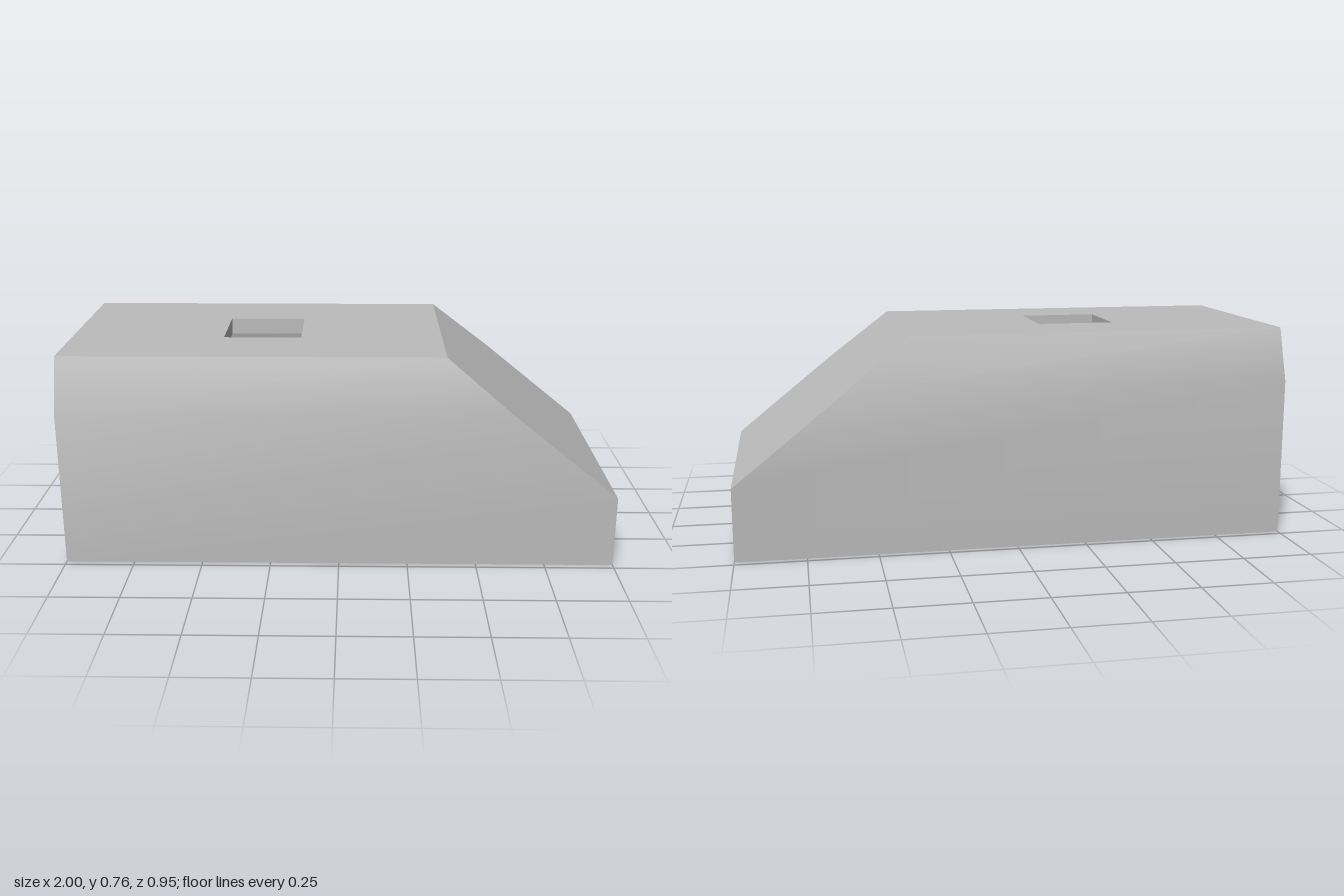
import * as THREE from 'three';
import { mergeGeometries, toCreasedNormals } from 'three/addons/utils/BufferGeometryUtils.js';

const WALL = 0.06;
const V = (x, y, z) => new THREE.Vector3(x, y, z);

// Flat polygon with optional holes, facing along the given normal
function face(points, normal, holes = []) {
  const n = V(...normal).normalize();
  const u = (Math.abs(n.y) > 0.9 ? V(1, 0, 0) : V(0, 1, 0)).cross(n).normalize();
  const v = n.clone().cross(u);
  const flat = (list) => list.map((p) => new THREE.Vector2(p.dot(u), p.dot(v)));
  const all = [points, ...holes].flat();
  const out = [];
  for (const [a, b, c] of THREE.ShapeUtils.triangulateShape(flat(points), holes.map(flat))) {
    const turn = all[b].clone().sub(all[a]).cross(all[c].clone().sub(all[a])).dot(n);
    for (const i of turn > 0 ? [a, b, c] : [a, c, b]) out.push(...all[i].toArray());
  }
  const g = new THREE.BufferGeometry();
  g.setAttribute('position', new THREE.Float32BufferAttribute(out, 3));
  return g;
}

// Key sizes of the hull, moved inwards by t perpendicular to every face
function hull(t) {
  const roof = 0.765 - t, side = 0.475 - t, end = 1 - t;
  const sl = Math.hypot(0.19, 0.065), nz = 0.19 / sl, ny = 0.065 / sl;
  const c = nz * 0.475 + ny * 0.575 - t;
  const shoulder = (c - nz * side) / ny, roofZ = (c - ny * roof) / nz;
  const k = (0.765 - 0.263) / 0.62;
  const drop = t * Math.hypot(1, k);
  const slopeX = (y) => 1 - (y + drop - 0.263) / k;
  const nose = 0.263 + k * t - drop;
  return { roof, side, end, shoulder, roofZ, slopeX, nose };
}

// Rectangular openings: roof hatch and three nose windows
const rectXZ = (x0, x1, z0, z1) => (y) => [V(x0, y, z0), V(x1, y, z0), V(x1, y, z1), V(x0, y, z1)];
const rectYZ = (z0, z1) => (x) => [V(x, 0.073, z0), V(x, 0.23, z0), V(x, 0.23, z1), V(x, 0.073, z1)];
const hatch = rectXZ(-0.433, -0.145, -0.143, 0.143);
const windows = [rectYZ(-0.347, -0.24), rectYZ(-0.12, 0.12), rectYZ(0.24, 0.347)];

// All skin faces; s = 1 faces outwards, s = -1 faces inwards
function skin(t, s) {
  const h = hull(t), e = h.end;
  const xs = h.slopeX(h.shoulder), xr = h.slopeX(h.roof);
  const parts = [];
  for (const m of [1, -1]) {
    const z = m * h.side, r = m * h.roofZ;
    parts.push(
      face([V(-e, 0, z), V(e, 0, z), V(e, h.nose, z), V(xs, h.shoulder, z), V(-e, h.shoulder, z)], [0, 0, s * m]),
      face([V(-e, h.shoulder, z), V(xs, h.shoulder, z), V(xr, h.roof, r), V(-e, h.roof, r)], [0, 0.065 * s, 0.19 * s * m]),
    );
  }
  const z = h.side, r = h.roofZ;
  parts.push(
    // roof, windscreen slope, nose and back
    face([V(-e, h.roof, -r), V(xr, h.roof, -r), V(xr, h.roof, r), V(-e, h.roof, r)], [0, s, 0], [hatch(h.roof)]),
    face([V(xr, h.roof, -r), V(xs, h.shoulder, -z), V(e, h.nose, -z), V(e, h.nose, z), V(xs, h.shoulder, z), V(xr, h.roof, r)],
      [0.502 * s, 0.62 * s, 0]),
    face([V(e, 0, -z), V(e, h.nose, -z), V(e, h.nose, z), V(e, 0, z)], [s, 0, 0], windows.map((w) => w(e))),
    face([V(-e, 0, -z), V(-e, h.shoulder, -z), V(-e, h.roof, -r), V(-e, h.roof, r), V(-e, h.shoulder, z), V(-e, 0, z)], [-s, 0, 0]),
  );
  return parts;
}

// Four walls through the shell thickness, facing the middle of the opening
function reveal(rect, outer, inner) {
  const a = rect(outer), b = rect(inner);
  const centre = a.reduce((sum, p) => sum.add(p), V(0, 0, 0)).divideScalar(4);
  return a.map((p, i) => {
    const j = (i + 1) % 4;
    const n = centre.clone().sub(p.clone().add(a[j]).multiplyScalar(0.5));
    return face([p, a[j], b[j], b[i]], n.toArray());
  });
}

export function createModel() {
  const group = new THREE.Group();
  group.name = 'vehicleShell';
  const grey = new THREE.MeshStandardMaterial({ color: 0xbcbcbc });
  grey.name = 'plain grey';

  const add = (name, parts) => {
    const mesh = new THREE.Mesh(toCreasedNormals(mergeGeometries(parts), 0.5), grey);
    mesh.name = name;
    group.add(mesh);
  };

  add('outerSkin', skin(0, 1));
  add('innerSkin', skin(WALL, -1));

  // bottom rim between the skins
  const ring = (t) => rectXZ(-1 + t, 1 - t, -0.475 + t, 0.475 - t)(0);
  add('bottomRim', [face(ring(0), [0, -1, 0], [ring(WALL)])]);

  add('hatchReveal', reveal(hatch, 0.765, 0.765 - WALL));
  windows.forEach((w, i) => add(['rightWindow', 'middleWindow', 'leftWindow'][i] + 'Reveal', reveal(w, 1, 1 - WALL)));
  return group;
}
